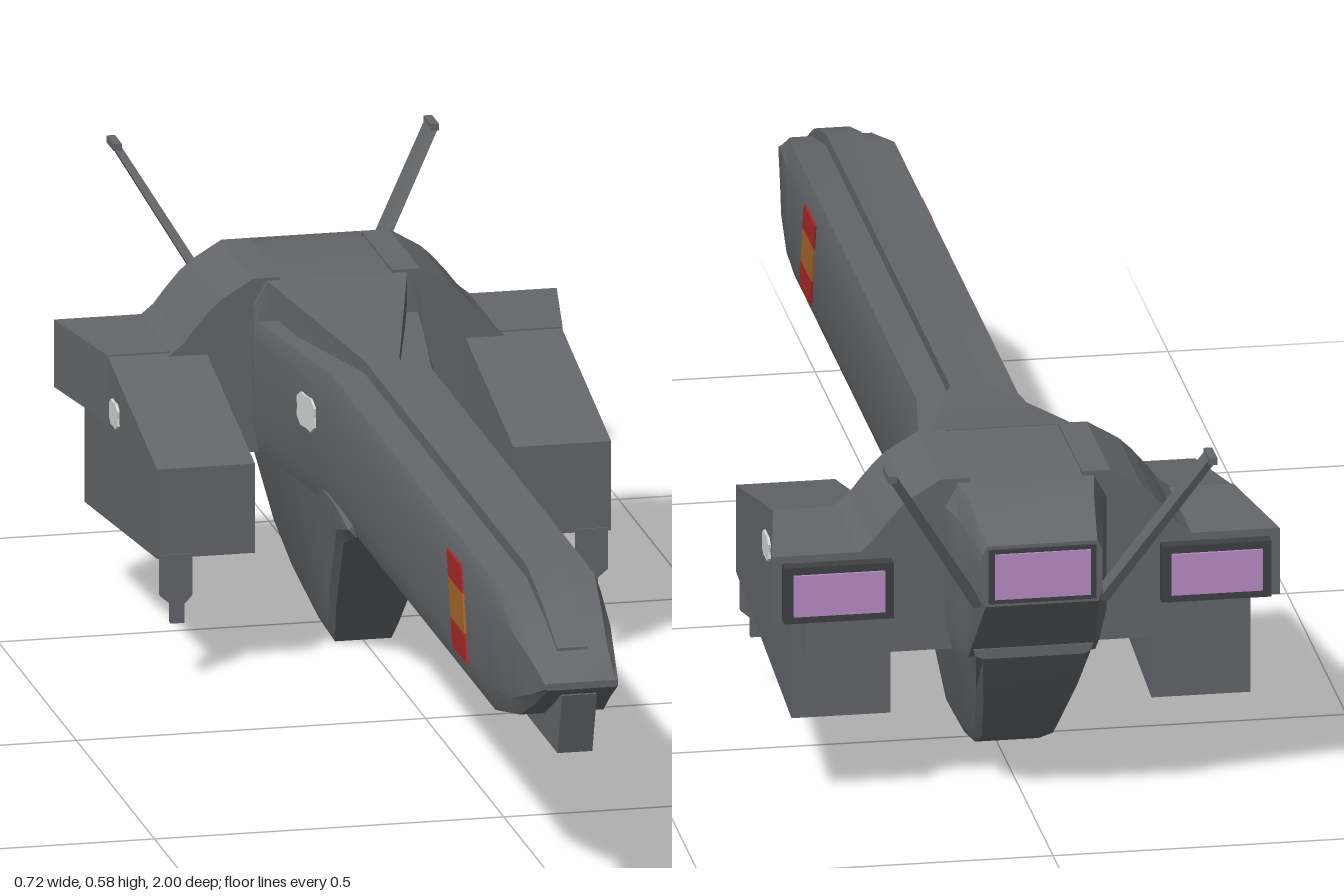
import * as THREE from 'three';
import { toCreasedNormals } from 'three/addons/utils/BufferGeometryUtils.js';

const mat = (name, color) => {
  const m = new THREE.MeshStandardMaterial({ color });
  m.name = name;
  return m;
};

// Skins rings of equal length, ordered front to back, and closes both ends.
function loft(rings) {
  const pos = [], n = rings[0].length;
  const tri = (a, b, c) => pos.push(...a, ...b, ...c);
  for (let s = 0; s < rings.length - 1; s++) {
    for (let i = 0; i < n; i++) {
      const j = (i + 1) % n, p = rings[s], q = rings[s + 1];
      tri(p[i], q[i], p[j]);
      tri(p[j], q[i], q[j]);
    }
  }
  const first = rings[0], last = rings[rings.length - 1];
  for (let i = 1; i < n - 1; i++) {
    tri(first[0], first[i], first[i + 1]);
    tri(last[0], last[i + 1], last[i]);
  }
  const g = new THREE.BufferGeometry();
  g.setAttribute('position', new THREE.Float32BufferAttribute(pos, 3));
  return toCreasedNormals(g, 0.4);
}

// Symmetric ring at z from right-hand points listed bottom to top.
const ring = (z, half) => [
  ...half.map(([x, y]) => [x, y, z]),
  ...half.slice().reverse().map(([x, y]) => [-x, y, z]),
];

// Rectangular ring at z.
const rect = (z, x0, x1, y0, y1) => [[x0, y0, z], [x1, y0, z], [x1, y1, z], [x0, y1, z]];

const box = (x0, x1, y0, y1, z0, z1) =>
  new THREE.BoxGeometry(x1 - x0, y1 - y0, z1 - z0).translate((x0 + x1) / 2, (y0 + y1) / 2, (z0 + z1) / 2);

const shape = pts => new THREE.Shape(pts.map(([a, b]) => new THREE.Vector2(a, b)));

// Side outline of (z, y) points, thickened from x0 to x1.
const sidePlate = (pts, x0, x1) =>
  new THREE.ExtrudeGeometry(shape(pts), { depth: x1 - x0, bevelEnabled: false })
    .rotateY(-Math.PI / 2).translate(x1, 0, 0);

// Front outline of (x, y) points, thickened from z0 to z1.
const frontPlate = (pts, z0, z1) =>
  new THREE.ExtrudeGeometry(shape(pts), { depth: z1 - z0, bevelEnabled: false }).translate(0, 0, z0);

// Small uneven round patch in (z, y).
const patch = (z, y, rz, ry) => Array.from({ length: 12 }, (_, i) => {
  const a = i / 12 * Math.PI * 2, k = i % 3 ? 1 : 0.82;
  return [z + Math.cos(a) * rz * k, y + Math.sin(a) * ry * k];
});

// Mirrors a geometry across x = 0 and restores the corner order.
function mirrored(geo) {
  const g = geo.index ? geo.toNonIndexed() : geo.clone();
  g.scale(-1, 1, 1);
  for (const name of ['position', 'normal']) {
    const a = g.attributes[name];
    for (let i = 0; i < a.count; i += 3) {
      const t = [a.getX(i + 1), a.getY(i + 1), a.getZ(i + 1)];
      a.setXYZ(i + 1, a.getX(i + 2), a.getY(i + 2), a.getZ(i + 2));
      a.setXYZ(i + 2, ...t);
    }
  }
  return g;
}

export function createModel() {
  const root = new THREE.Group();
  root.name = 'spacecraft';
  const hull = mat('hullGrey', 0x646669);
  const dark = mat('frameGrey', 0x3e4043);
  const glow = mat('engineGlow', 0xb88cc4);
  const red = mat('markingRed', 0xa82828);
  const orange = mat('markingOrange', 0xa8662a);
  const white = mat('patchWhite', 0xd2d4d4);

  const add = (name, geo, m) => {
    const mesh = new THREE.Mesh(geo, m);
    mesh.name = name;
    root.add(mesh);
  };
  const pair = (name, geo, m) => {
    add(name + 'Left', geo, m);
    add(name + 'Right', mirrored(geo), m);
  };

  // Main fuselage: z, bottom, top, bottom width, side width, top width
  const body = [
    [1.0, 0.333, 0.343, 0.048, 0.052, 0.048],
    [0.94, 0.298, 0.372, 0.052, 0.06, 0.05],
    [0.87, 0.262, 0.402, 0.06, 0.07, 0.058],
    [0.76, 0.238, 0.427, 0.07, 0.081, 0.072],
    [-0.28, 0.236, 0.427, 0.07, 0.081, 0.072],
    [-0.56, 0.235, 0.427, 0.11, 0.12, 0.115],
    [-0.565, 0.235, 0.483, 0.11, 0.12, 0.1],
    [-0.75, 0.235, 0.484, 0.11, 0.12, 0.1],
    [-0.82, 0.24, 0.472, 0.09, 0.1, 0.088],
    [-0.91, 0.345, 0.435, 0.08, 0.085, 0.078],
  ];
  add('fuselage', loft(body.map(([z, b, t, wb, ws, wt]) => {
    const h = t - b;
    return ring(z, [[wb, b], [ws, b + h * 0.18], [ws, t - h * 0.14], [wt, t]]);
  })), hull);

  // Spine that fans out toward the engines: z, top, width
  const spine = [[0.94, 0.376, 0.022], [0.86, 0.417, 0.025], [0.76, 0.445, 0.025],
    [-0.28, 0.445, 0.025], [-0.565, 0.484, 0.1]];
  add('spine', loft(spine.map(([z, t, w]) => ring(z, [[w, t - 0.045], [w, t]]))), hull);

  // Chin and belly rail
  add('bellyRail', sidePlate([[0.985, 0.32], [0.955, 0.228], [-0.22, 0.228], [-0.22, 0.3], [0.9, 0.31]], -0.025, 0.025), hull);

  // Deep belly hull: z, lowest point, upper width
  const belly = [[-0.13, 0.234, 0.07], [-0.22, 0.2, 0.08], [-0.27, 0.15, 0.08], [-0.35, 0.07, 0.08],
    [-0.4, 0.003, 0.08], [-0.5, 0.01, 0.082], [-0.61, 0.035, 0.085], [-0.7, 0.075, 0.085],
    [-0.78, 0.155, 0.085], [-0.835, 0.24, 0.085]];
  add('belly', loft(belly.map(([z, y, w]) => {
    const low = Math.min(y + 0.02, 0.245);
    const side = 0.05 + 0.14 * (low - 0.02);
    return ring(z, [[side - 0.01, y], [side, low], [w, 0.255]]);
  })), hull);

  // Rear engine panel
  add('rearFrame', box(-0.076, 0.076, 0.35, 0.43, -0.914, -0.906), dark);
  add('rearGlow', box(-0.068, 0.068, 0.357, 0.424, -0.917, -0.91), glow);

  // Arched shoulders joining the pods
  pair('shoulder', frontPlate([[0.08, 0.235], [0.2, 0.235], [0.25, 0.375], [0.235, 0.386],
    [0.218, 0.4], [0.2, 0.423], [0.182, 0.444], [0.165, 0.46], [0.12, 0.487], [0.08, 0.487]], -0.77, -0.57), hull);

  // Engine pods with flared rear housings
  pair('pod', sidePlate([[-0.265, 0.31], [-0.265, 0.18], [-0.73, 0.13], [-0.73, 0.385], [-0.585, 0.385]], 0.185, 0.325), hull);
  pair('podHousing', loft([rect(-0.58, 0.185, 0.326, 0.288, 0.386), rect(-0.77, 0.185, 0.36, 0.288, 0.386)]), hull);
  pair('podStep', box(0.2, 0.312, 0.235, 0.29, -0.77, -0.7), hull);
  pair('nozzleFrame', box(0.19, 0.345, 0.292, 0.375, -0.79, -0.765), dark);
  pair('nozzleGlow', box(0.203, 0.332, 0.303, 0.364, -0.794, -0.786), glow);

  // Thin gun fins hanging under the pod fronts
  pair('gunFin', frontPlate([[0.275, 0.185], [0.275, 0.125], [0.286, 0.113], [0.286, 0.085],
    [0.306, 0.085], [0.306, 0.113], [0.32, 0.125], [0.32, 0.185]], -0.274, -0.263), hull);

  // Swept antennas with small caps
  const bar = (x, y, z, hx, hz) =>
    [[x - hx, y, z - hz], [x + hx, y, z - hz], [x + hx, y, z + hz], [x - hx, y, z + hz]];
  pair('antenna', loft([bar(0.088, 0.34, -0.88, 0.008, 0.017), bar(0.227, 0.575, -0.976, 0.006, 0.019)]), hull);
  pair('antennaCap', box(0.221, 0.233, 0.57, 0.58, -1.0, -0.955), hull);

  // Slanted side markings
  const slant = (y0, y1) => {
    const z = y => 0.635 - (y - 0.27) * 0.28;
    return [[z(y0), y0], [z(y0) - 0.09, y0], [z(y1) - 0.09, y1], [z(y1), y1]];
  };
  pair('markingLower', sidePlate(slant(0.27, 0.31), 0.08, 0.084), red);
  pair('markingMiddle', sidePlate(slant(0.31, 0.365), 0.08, 0.084), orange);
  pair('markingUpper', sidePlate(slant(0.365, 0.402), 0.08, 0.084), red);

  // Pale patches on the flared fuselage side and the pods
  const flare = sidePlate(patch(-0.35, 0.355, 0.04, 0.028), 0.088, 0.094);
  const p = flare.attributes.position;
  for (let i = 0; i < p.count; i++) p.setX(i, p.getX(i) - (p.getZ(i) + 0.35) * 0.139);
  flare.computeVertexNormals();
  pair('fuselagePatch', flare, white);
  pair('podPatch', sidePlate(patch(-0.53, 0.315, 0.03, 0.021), 0.323, 0.329), white);

  return root;
}
